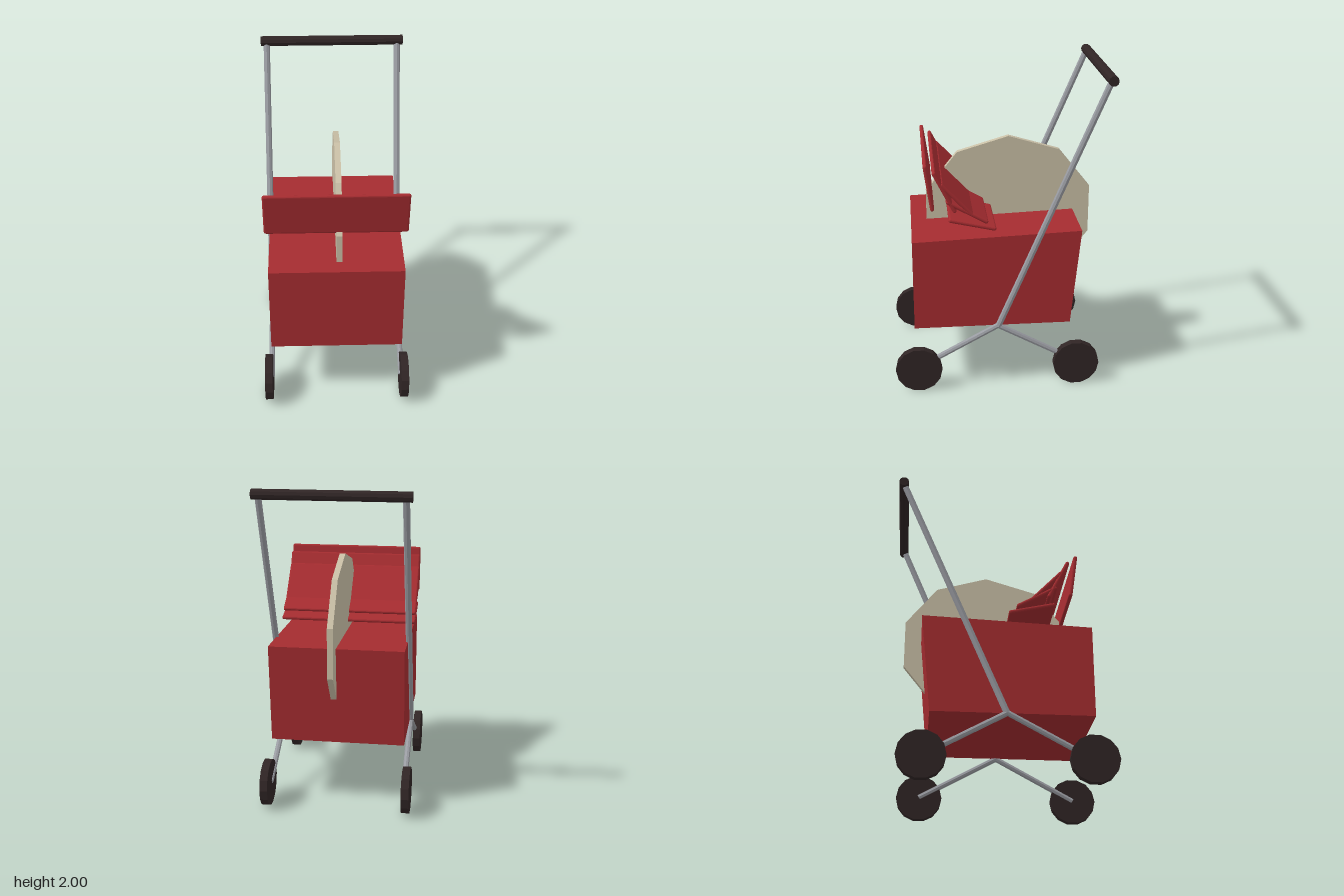
import * as THREE from 'three';
import { RoundedBoxGeometry } from 'three/addons/geometries/RoundedBoxGeometry.js';

const material = (name, color, flatShading = true) => {
  const m = new THREE.MeshStandardMaterial({ color, flatShading });
  m.name = name;
  return m;
};

export function createModel() {
  const group = new THREE.Group();
  group.name = 'stroller';
  const red = material('red fabric', 0xa52c30);
  const beige = material('beige board', 0xc9bfa6);
  const metal = material('grey metal', 0x9a9ca2);
  const dark = material('dark rubber', 0x302525);

  const add = (name, geometry, mat) => {
    const mesh = new THREE.Mesh(geometry, mat);
    mesh.name = name;
    group.add(mesh);
    return mesh;
  };

  // Side profile of [z, y] points, extruded across x
  const slab = (name, points, x0, x1, mat) => {
    const shape = new THREE.Shape(points.map(([z, y]) => new THREE.Vector2(-z, y)));
    const geo = new THREE.ExtrudeGeometry(shape, { depth: x1 - x0, bevelEnabled: false });
    geo.rotateY(Math.PI / 2).translate(x0, 0, 0);
    return add(name, geo, mat);
  };

  // Straight round bar between two points
  const bar = (name, a, b, radius, mat, sides = 8) => {
    const from = new THREE.Vector3(...a), to = new THREE.Vector3(...b);
    const dir = to.clone().sub(from);
    const mesh = add(name, new THREE.CylinderGeometry(radius, radius, dir.length(), sides), mat);
    mesh.position.copy(from).add(to).multiplyScalar(0.5);
    mesh.quaternion.setFromUnitVectors(new THREE.Vector3(0, 1, 0), dir.normalize());
    return mesh;
  };

  // Seat box with a raked back
  slab('body', [[0.545, 0.42], [0.545, 0.997], [-0.49, 1.037], [-0.43, 0.42]], -0.412, 0.412, red);

  // Ten-sided upright board through the box
  const board = [];
  for (let i = 0; i < 10; i++) {
    const a = (i / 10) * Math.PI * 2;
    board.push([-0.075 + 0.547 * Math.sin(a), 1.035 + 0.5 * Math.cos(a)]);
  }
  slab('centreBoard', board, 0, 0.036, beige);

  // Fanned canopy panels: upper and lower edge as z, y
  const panels = [
    [0.456, 1.478, 0.418, 1.212],
    [0.405, 1.436, 0.285, 1.197],
    [0.362, 1.363, 0.18, 1.17],
    [0.326, 1.254, 0.095, 1.123],
    [0.312, 1.137, 0.046, 1.076],
  ];
  for (const [z0, y0, z1, y1] of panels) {
    const length = Math.hypot(z0 - z1, y0 - y1) + 0.02;
    const panel = add('canopyPanel', new RoundedBoxGeometry(0.866, length, 0.024, 2, 0.011), red);
    panel.position.set(0, (y0 + y1) / 2, (z0 + z1) / 2);
    panel.rotation.x = Math.atan2(z0 - z1, y0 - y1);
  }

  // Frame and wheels on both sides
  for (const s of [-1, 1]) {
    const x = 0.418 * s;
    bar('handleBar', [x, 0.415, 0.023], [x, 1.965, -0.632], 0.02, metal);
    for (const z of [0.525, -0.47]) {
      bar('leg', [x, 0.42, 0.025], [x, 0.147, z], 0.018, metal);
      bar('wheel', [0.41 * s, 0.145, z], [0.458 * s, 0.145, z], 0.145, dark, 14);
    }
  }

  // Grip across the top
  bar('grip', [-0.455, 1.97, -0.636], [0.455, 1.97, -0.636], 0.031, dark, 10);

  return group;
}
